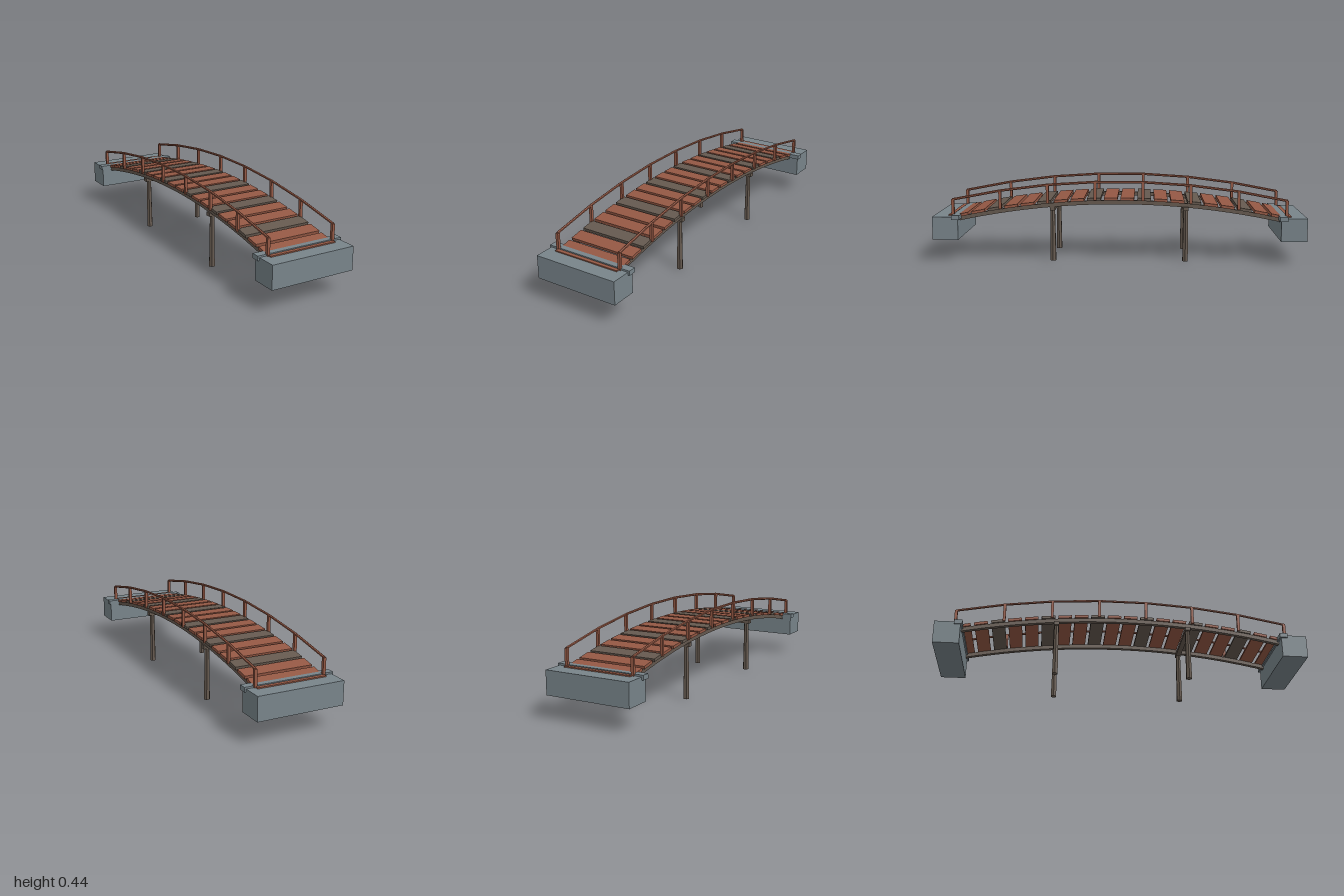
import * as THREE from 'three';

const mat = (name, color) => {
  const m = new THREE.MeshStandardMaterial({ color });
  m.name = name;
  return m;
};

// Arched walking surface: height and pitch at a given z
const RISE = 0.1, HALF = 0.9;
const deckTop = (z) => 0.348 - RISE * (z / HALF) ** 2;
const deckPitch = (z) => Math.atan((2 * RISE * z) / HALF ** 2);

export function createModel() {
  const bridge = new THREE.Group();
  bridge.name = 'footbridge';
  const redWood = mat('redWood', 0x945844);
  const greyWood = mat('weatheredWood', 0x65594f);
  const stone = mat('stone', 0x78848a);

  const add = (name, geometry, material, x = 0, y = 0, z = 0) => {
    const mesh = new THREE.Mesh(geometry, material);
    mesh.name = name;
    mesh.position.set(x, y, z);
    bridge.add(mesh);
    return mesh;
  };
  const box = (name, material, w, h, d, x, y, z) =>
    add(name, new THREE.BoxGeometry(w, h, d), material, x, y, z);

  // Planks, every third one weathered
  for (let i = 0; i < 20; i++) {
    const z = (i - 9.5) * 0.0895;
    const plank = box('plank', i % 3 === 2 ? greyWood : redWood, 0.372, 0.015, 0.073, 0, deckTop(z) - 0.0075, z);
    plank.rotation.x = deckPitch(z);
  }

  // Arched beam outline, extruded sideways, for the stringers
  const outline = [];
  const STEPS = 24, END = 0.885;
  for (let i = 0; i <= STEPS; i++) {
    const z = -END + (2 * END * i) / STEPS;
    outline.push(new THREE.Vector2(z, deckTop(z) - 0.036));
  }
  for (let i = STEPS; i >= 0; i--) {
    const z = -END + (2 * END * i) / STEPS;
    outline.push(new THREE.Vector2(z, deckTop(z) - 0.015));
  }
  const stringerGeo = new THREE.ExtrudeGeometry(new THREE.Shape(outline), { depth: 0.022, bevelEnabled: false });
  stringerGeo.translate(0, 0, -0.011);
  stringerGeo.rotateY(-Math.PI / 2);

  const up = new THREE.Vector3(0, 1, 0);
  const postZ = Array.from({ length: 8 }, (_, i) => (i - 3.5) * 0.2557);

  for (const side of [-1, 1]) {
    add('stringer', stringerGeo, greyWood, side * 0.167);

    // Railing posts and straight rail lengths between them
    const x = side * 0.187;
    const railPoint = (z) => new THREE.Vector3(x, deckTop(z) + 0.087, z);
    postZ.forEach((z, i) => {
      const top = railPoint(z).y, bottom = deckTop(z) - 0.012;
      box('railPost', redWood, 0.015, top - bottom, 0.015, x, (top + bottom) / 2, z);
      if (i === 0) return;
      const a = railPoint(postZ[i - 1]), b = railPoint(z);
      const dir = b.clone().sub(a);
      const rail = add('handrail', new THREE.CylinderGeometry(0.0068, 0.0068, dir.length() + 0.003, 6).toNonIndexed(), redWood);
      rail.geometry.computeVertexNormals();
      rail.position.copy(a).add(b).multiplyScalar(0.5);
      rail.quaternion.setFromUnitVectors(up, dir.normalize());
    });
  }

  // Hexagonal piles with a cross beam on each pair
  for (const z of [-0.358, 0.358]) {
    const beamTop = deckTop(z) - 0.034;
    box('crossBeam', greyWood, 0.372, 0.02, 0.028, 0, beamTop - 0.01, z);
    for (const x of [-0.162, 0.162]) {
      const h = beamTop - 0.004;
      const geo = new THREE.CylinderGeometry(0.013, 0.017, h, 6);
      geo.rotateY(Math.PI / 2);
      const flat = geo.toNonIndexed();
      flat.computeVertexNormals();
      add('pile', flat, greyWood, x, h / 2, z);
    }
  }

  // Stone abutments with a bearing sill and a wooden threshold
  for (const end of [-1, 1]) {
    box('abutment', stone, 0.466, 0.124, 0.138, 0, 0.185, end * 0.931);
    box('bearingSill', stone, 0.484, 0.024, 0.042, 0, 0.244, end * 0.874);
    box('threshold', redWood, 0.374, 0.01, 0.02, 0, 0.248, end * 0.91);
  }
  return bridge;
}
